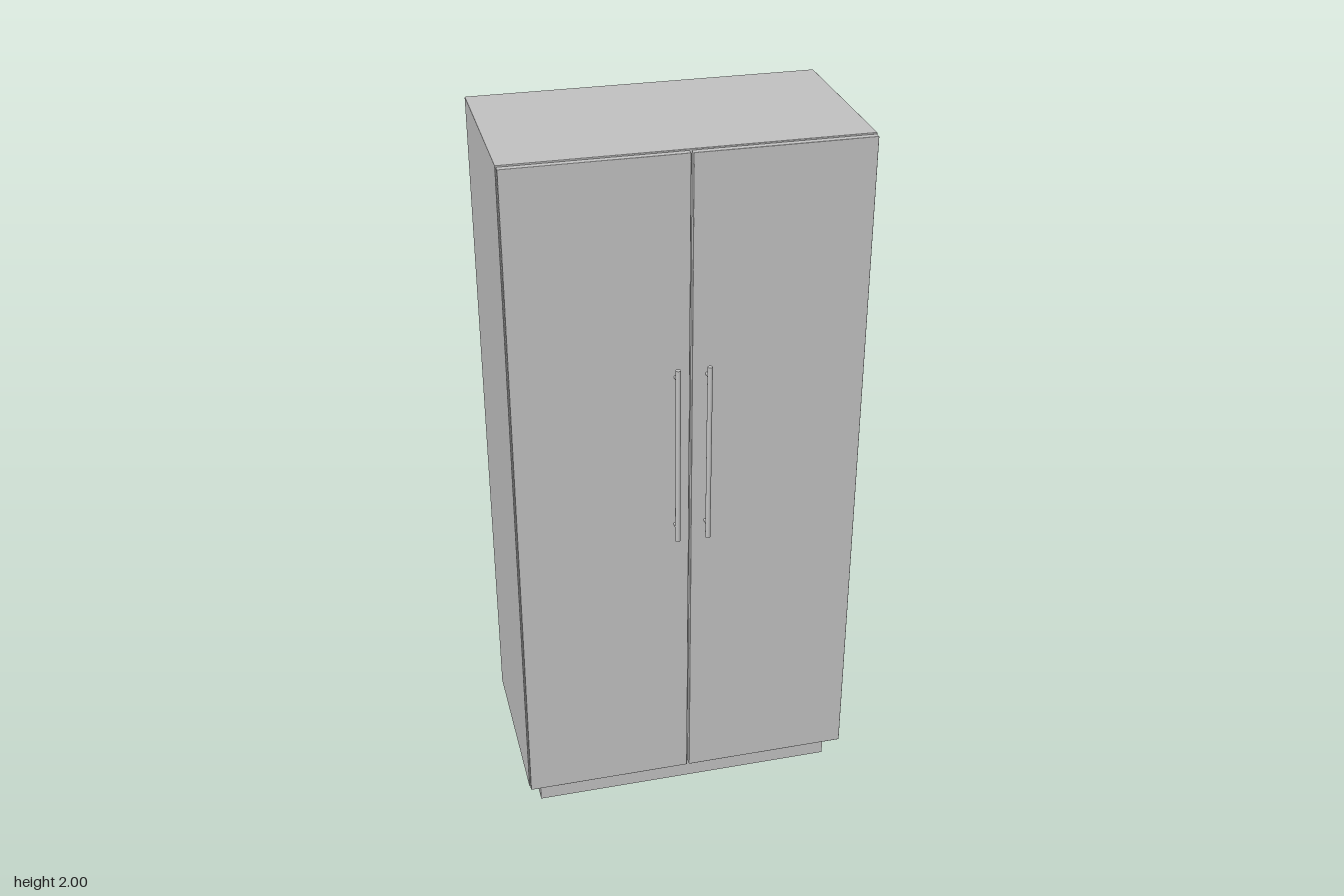
import * as THREE from 'three';
import { RoundedBoxGeometry } from 'three/addons/geometries/RoundedBoxGeometry.js';

export function createModel() {
  const model = new THREE.Group();
  model.name = 'wardrobe';
  const grey = new THREE.MeshStandardMaterial({ color: 0xc0c0c0 });
  grey.name = 'plain grey';

  const add = (parent, name, geometry, x, y, z) => {
    const mesh = new THREE.Mesh(geometry, grey);
    mesh.name = name;
    mesh.position.set(x, y, z);
    parent.add(mesh);
    return mesh;
  };

  // Carcass on a recessed plinth
  add(model, 'cabinetBody', new RoundedBoxGeometry(0.95, 1.92, 0.511, 1, 0.002), 0, 1.04, -0.0295);
  add(model, 'plinth', new THREE.BoxGeometry(0.876, 0.082, 0.458), 0, 0.041, -0.031);

  // Mirrored doors, each with a bar handle on two posts
  for (const side of [-1, 1]) {
    const door = new THREE.Group();
    door.name = side > 0 ? 'leftDoor' : 'rightDoor';
    model.add(door);
    add(door, 'doorPanel', new RoundedBoxGeometry(0.470, 1.914, 0.019, 1, 0.002), side * 0.238, 1.04, 0.2365);

    const handle = new THREE.Group();
    handle.name = 'handle';
    handle.position.set(side * 0.042, 1.17, 0);
    door.add(handle);
    add(handle, 'handleBar', new THREE.CylinderGeometry(0.007, 0.007, 0.52, 20), 0, 0, 0.278);
    for (const y of [-0.225, 0.225]) {
      const post = add(handle, 'handlePost', new THREE.CylinderGeometry(0.004, 0.004, 0.034, 14), 0, y, 0.261);
      post.rotation.x = Math.PI / 2;
    }
  }
  return model;
}
